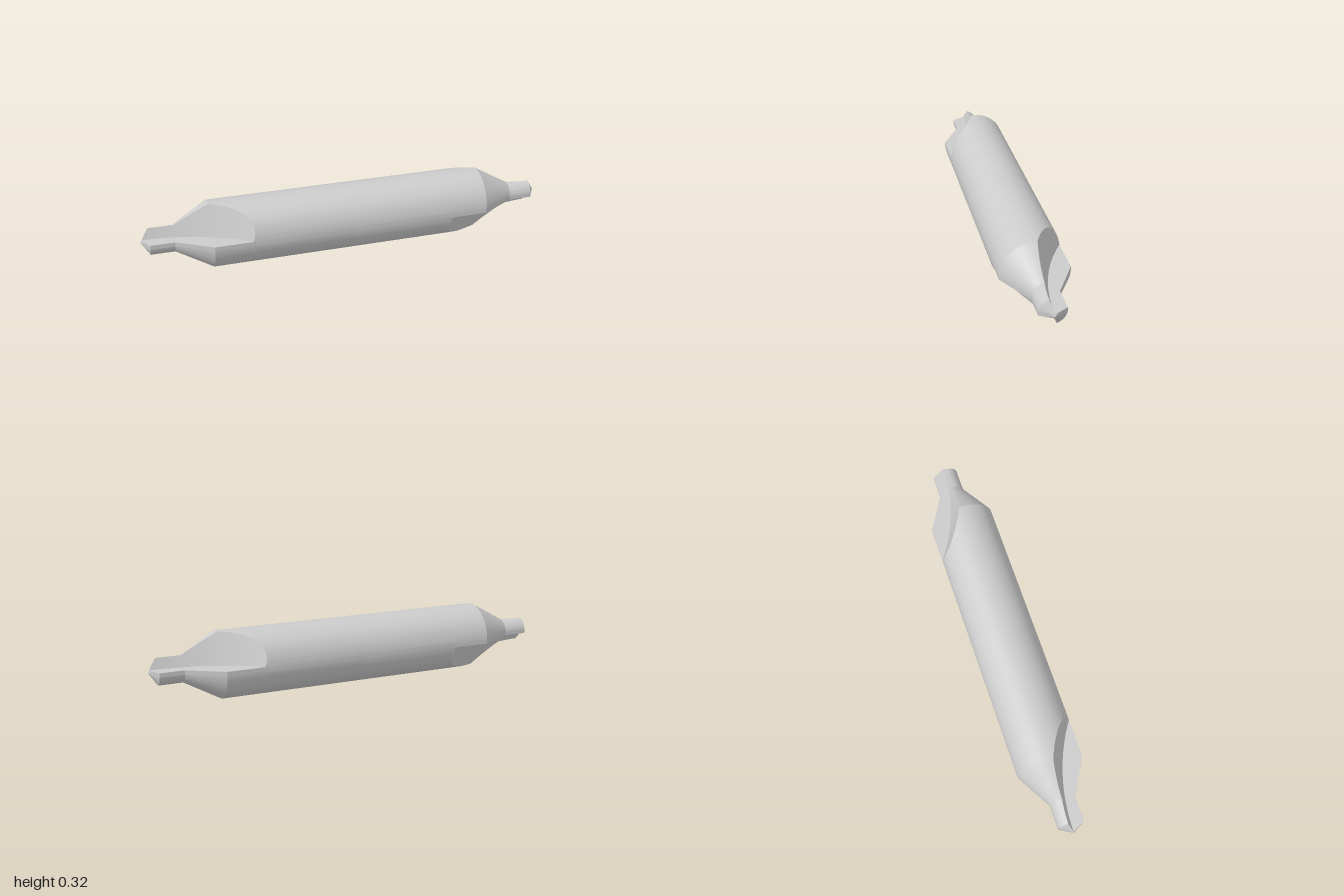
import * as THREE from 'three';
import { toCreasedNormals } from 'three/addons/utils/BufferGeometryUtils.js';

const R = 0.16;          // body radius
const WEB = 0.011;       // height of the flute floor above the axis
const TILT = Math.PI / 9; // lean of the flute wall
const SWEEP = 0.88;      // radius of the flute run-out
const ONSET = 0.4853;    // where the flute starts to bite into the body
const ARC = 48;          // segments on each of the two round flanks

// Outline of one end: [x, radius] from the middle of the body to the drill tip
const profile = [[0, R], [ONSET, R], [0.675, R], [0.845, 0.063], [0.96, 0.063], [0.9929, 0.0112], [1, 0]];
const steps = [1, 36, 16, 8, 4, 1];

// Flute corner points in (z, y): floor start F, inner corner C, wall top W
function notch(x, r) {
  const dir = new THREE.Vector2(Math.sin(TILT), Math.cos(TILT));
  const C = new THREE.Vector2(-(SWEEP - Math.sqrt(SWEEP ** 2 - (1 - x) ** 2)), WEB);
  const b = C.dot(dir);
  const disc = b * b - C.lengthSq() + r * r;
  const at = (t) => C.clone().addScaledVector(dir, t);
  if (C.length() < r) {
    return [new THREE.Vector2(-Math.sqrt(r * r - WEB * WEB), WEB), C, at(-b + Math.sqrt(disc))];
  }
  if (disc > 0 && b < 0) {
    const low = at(-b - Math.sqrt(disc));
    return [low, low, at(-b + Math.sqrt(disc))];
  }
  // No cut here: all three points fall together on the circle
  const p = x < 0.6 ? new THREE.Vector2(-dir.y, dir.x) : C.clone().normalize();
  p.multiplyScalar(r);
  return [p, p, p];
}

// Closed cross-section: round flank, flute, and the same again turned by half
function section(x, r) {
  const [F, C, W] = notch(x, r);
  const start = Math.atan2(W.x, W.y);
  let end = Math.atan2(-F.x, -F.y);
  if (end <= start) end += Math.PI * 2;
  const half = [];
  for (let i = 0; i < ARC; i++) {
    const a = start + ((end - start) * i) / ARC;
    half.push([r * Math.sin(a), r * Math.cos(a)]);
  }
  half.push([-F.x, -F.y], [-C.x, -C.y]);
  return [...half, ...half.map(([z, y]) => [-z, -y])].map(([z, y]) => new THREE.Vector3(x, y, z));
}

function flutedEndGeometry() {
  const rings = [section(0, R)];
  steps.forEach((n, k) => {
    const [x0, r0] = profile[k];
    const [x1, r1] = profile[k + 1];
    for (let i = 1; i <= n; i++) {
      // Stations crowd together at the rounded start of the flute
      const t = k === 1 ? (i / n) ** 2 : i / n;
      rings.push(section(x0 + (x1 - x0) * t, r0 + (r1 - r0) * t));
    }
  });
  const pos = [];
  const e1 = new THREE.Vector3();
  const e2 = new THREE.Vector3();
  const tri = (a, b, c) => {
    e1.subVectors(b, a).cross(e2.subVectors(c, a));
    if (e1.length() > 1e-10) pos.push(...a, ...b, ...c);
  };
  for (let i = 0; i < rings.length - 1; i++) {
    const p = rings[i];
    const q = rings[i + 1];
    for (let j = 0; j < p.length; j++) {
      const k = (j + 1) % p.length;
      tri(p[j], p[k], q[j]);
      tri(p[k], q[k], q[j]);
    }
  }
  const g = new THREE.BufferGeometry();
  g.setAttribute('position', new THREE.Float32BufferAttribute(pos, 3));
  return toCreasedNormals(g, Math.PI / 9);
}

export function createModel() {
  const group = new THREE.Group();
  group.name = 'centreDrill';
  const material = new THREE.MeshStandardMaterial({ color: 0xcccccc });
  const geometry = flutedEndGeometry();

  // Two identical fluted ends, back to back
  ['leftFlutedEnd', 'rightFlutedEnd'].forEach((name, i) => {
    const end = new THREE.Mesh(geometry, material);
    end.name = name;
    end.position.y = R;
    end.rotation.y = i * Math.PI;
    group.add(end);
  });
  return group;
}
